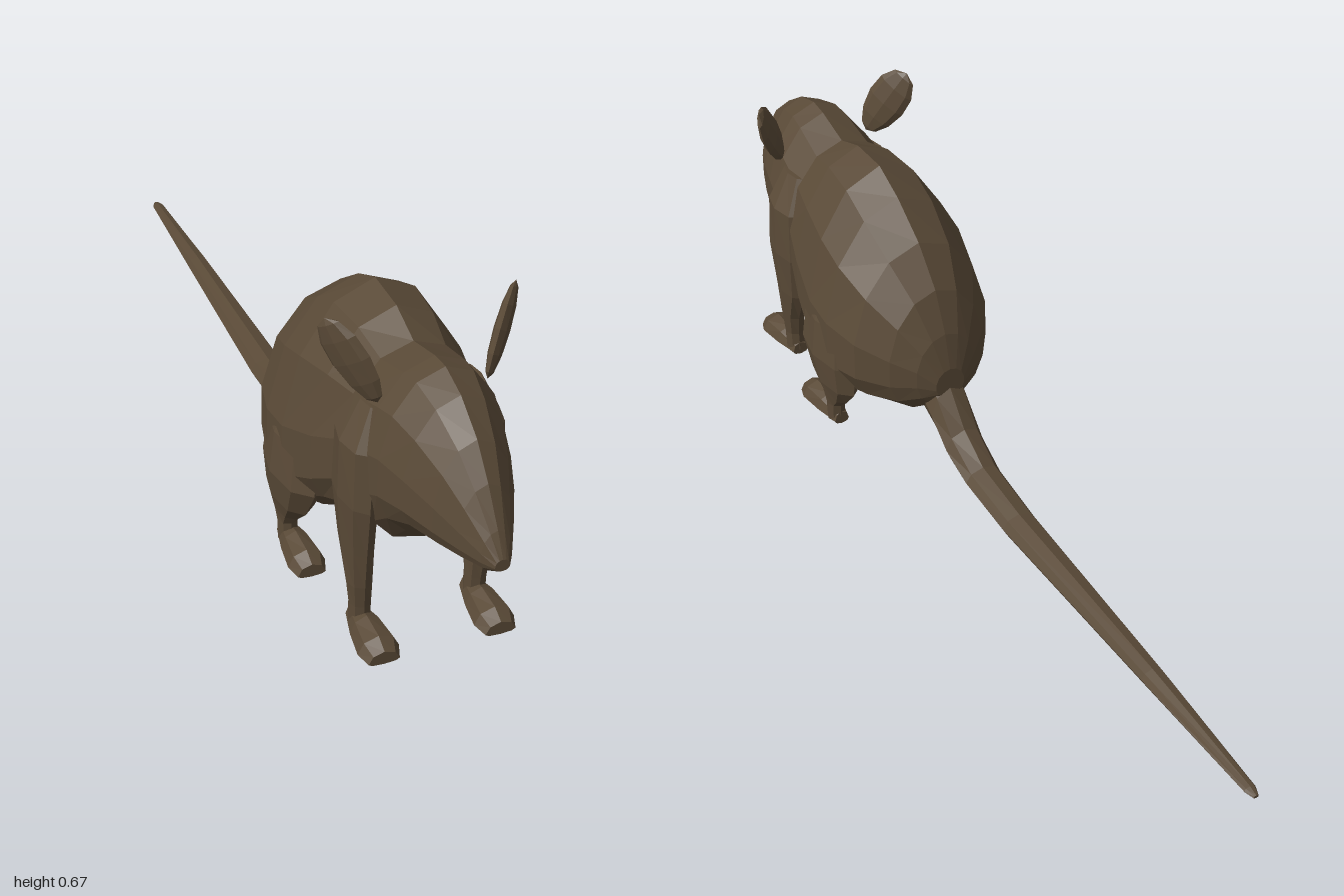
import * as THREE from 'three';

const fur = new THREE.MeshStandardMaterial({ color: 0x5a4a37, flatShading: true });
fur.name = 'brown fur';

// Skin a row of point rings and close both ends.
function loft(name, rings) {
  const n = rings[0].length, pos = [];
  const tri = (...pts) => pts.forEach(p => pos.push(p.x, p.y, p.z));
  const middle = ring => ring.reduce((s, p) => s.add(p), new THREE.Vector3()).divideScalar(n);
  const first = rings[0], last = rings[rings.length - 1];
  for (let i = 0; i < n; i++) {
    const j = (i + 1) % n;
    for (let r = 0; r < rings.length - 1; r++) {
      const a = rings[r], b = rings[r + 1];
      tri(a[i], a[j], b[i]);
      tri(a[j], b[j], b[i]);
    }
    tri(middle(first), first[j], first[i]);
    tri(middle(last), last[i], last[j]);
  }
  const g = new THREE.BufferGeometry();
  g.setAttribute('position', new THREE.Float32BufferAttribute(pos, 3));
  g.computeVertexNormals();
  const mesh = new THREE.Mesh(g, fur);
  mesh.name = name;
  return mesh;
}

const angles = n => Array.from({ length: n }, (_, i) => i / n * Math.PI * 2);

// Egg-shaped upright section: z, top, bottom, half width, height of the widest point
function eggRing([z, top, bottom, w, wide], n, x = 0) {
  return angles(n).map(a => {
    const c = Math.cos(a), s = Math.sin(a);
    const sx = c < 0 ? Math.sign(s) * Math.abs(s) ** 0.8 : s;
    return new THREE.Vector3(x + w * sx, wide + c * (c > 0 ? top - wide : wide - bottom), z);
  });
}

// Level section of a leg: height, x, z, x radius, z radius
function legRing([y, x, z, rx, rz], side, n = 8) {
  return angles(n).map(a =>
    new THREE.Vector3(side * x + rx * Math.sin(a), y, z + rz * Math.cos(a)));
}

// Head and trunk in one skin, nose to rump
const BODY = [
  [1.0, 0.372, 0.348, 0.014, 0.358],
  [0.975, 0.415, 0.332, 0.03, 0.362],
  [0.93, 0.48, 0.32, 0.054, 0.37],
  [0.88, 0.537, 0.31, 0.078, 0.378],
  [0.81, 0.582, 0.296, 0.105, 0.385],
  [0.745, 0.6, 0.25, 0.124, 0.385],
  [0.7, 0.595, 0.2, 0.133, 0.37],
  [0.61, 0.57, 0.18, 0.145, 0.34],
  [0.53, 0.598, 0.16, 0.168, 0.28],
  [0.43, 0.6, 0.09, 0.188, 0.23],
  [0.35, 0.563, 0.073, 0.189, 0.225],
  [0.26, 0.5, 0.1, 0.167, 0.23],
  [0.19, 0.42, 0.118, 0.118, 0.23],
  [0.15, 0.33, 0.15, 0.072, 0.23],
  [0.13, 0.25, 0.18, 0.035, 0.21],
];

const TAIL = [
  [0.2, 0.28, 0.115, 0.048, 0.19],
  [0.13, 0.2, 0.09, 0.047, 0.14],
  [0.07, 0.125, 0.047, 0.045, 0.085],
  [-0.01, 0.077, 0.023, 0.042, 0.05],
  [-0.16, 0.058, 0.006, 0.039, 0.032],
  [-0.66, 0.042, 0.006, 0.025, 0.024],
  [-0.98, 0.021, 0.007, 0.013, 0.014],
  [-1.0, 0.016, 0.009, 0.006, 0.012],
];

const FRONT_LEG = [
  [0.015, 0.118, 0.668, 0.022, 0.024],
  [0.06, 0.118, 0.67, 0.022, 0.024],
  [0.11, 0.12, 0.668, 0.025, 0.032],
  [0.19, 0.122, 0.655, 0.029, 0.055],
  [0.3, 0.125, 0.652, 0.034, 0.075],
  [0.42, 0.118, 0.65, 0.038, 0.07],
  [0.5, 0.095, 0.65, 0.022, 0.045],
];

const HIND_LEG = [
  [0.01, 0.155, 0.385, 0.02, 0.022],
  [0.055, 0.155, 0.383, 0.021, 0.024],
  [0.08, 0.153, 0.38, 0.026, 0.048],
  [0.12, 0.15, 0.385, 0.039, 0.085],
  [0.19, 0.147, 0.4, 0.051, 0.11],
  [0.28, 0.14, 0.4, 0.048, 0.1],
  [0.36, 0.13, 0.4, 0.03, 0.06],
];

// Paw from toes to heel, with a flat sole
function paw(name, x, toe, length, w) {
  return loft(name, [
    [toe, 0.032, 0.003, w * 0.75, 0.009],
    [toe - length * 0.2, 0.046, 0.003, w, 0.013],
    [toe - length * 0.6, 0.048, 0.003, w * 0.8, 0.013],
    [toe - length, 0.035, 0.003, w * 0.45, 0.013],
  ].map(r => eggRing(r, 8, x)));
}

// Thin oval ear, broad near the tip, leaning out and back
function ear(name, side) {
  const g = new THREE.SphereGeometry(1, 8, 6);
  const p = g.attributes.position;
  for (let i = 0; i < p.count; i++) {
    const t = p.getY(i);
    p.setXYZ(i, p.getX(i) * 0.047 * (1 + 0.15 * t), t * 0.091, p.getZ(i) * 0.015);
  }
  const up = new THREE.Vector3(side * 0.42, 0.84, -0.34).normalize();
  const across = new THREE.Vector3(side * 0.6, 0, -0.8);
  across.addScaledVector(up, -across.dot(up)).normalize();
  const out = new THREE.Vector3().crossVectors(across, up);
  g.applyMatrix4(new THREE.Matrix4().makeBasis(across, up, out).setPosition(side * 0.143, 0.597, 0.668));
  const mesh = new THREE.Mesh(g, fur);
  mesh.name = name;
  return mesh;
}

export function createModel() {
  const model = new THREE.Group();
  model.name = 'rodent';
  model.add(loft('body', BODY.map(r => eggRing(r, 14))));
  model.add(loft('tail', TAIL.map(r => eggRing(r, 8))));
  for (const side of [1, -1]) {
    const tag = side > 0 ? 'left' : 'right';
    model.add(
      loft(tag + 'FrontLeg', FRONT_LEG.map(r => legRing(r, side))),
      loft(tag + 'HindLeg', HIND_LEG.map(r => legRing(r, side))),
      paw(tag + 'FrontPaw', side * 0.117, 0.79, 0.145, 0.041),
      paw(tag + 'HindPaw', side * 0.152, 0.512, 0.15, 0.038),
      ear(tag + 'Ear', side),
    );
  }
  return model;
}
